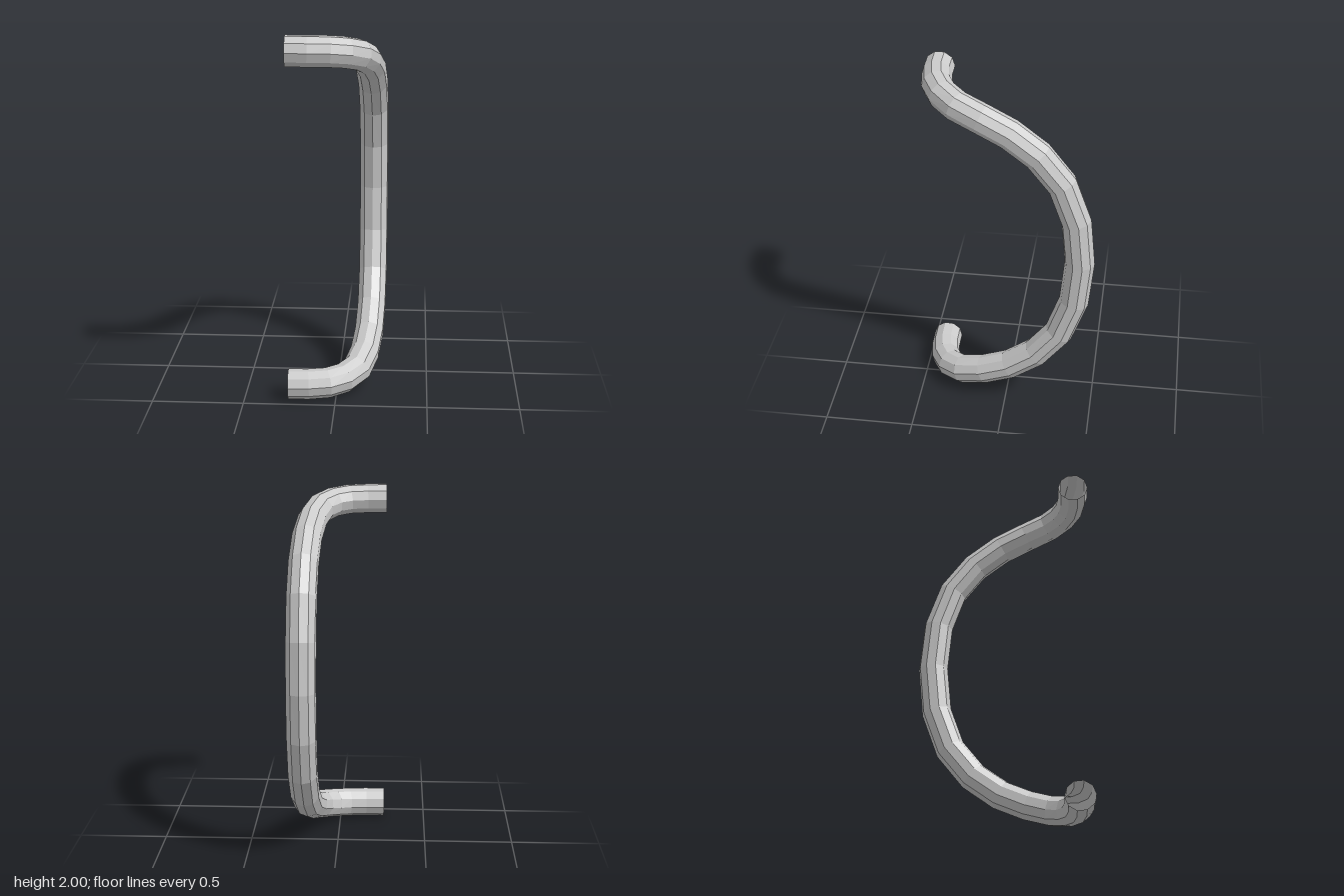
import * as THREE from 'three';

const RADIUS = 0.083;
const SIDES = 10;

// Centreline of the upper half, from the open end to the middle of the bow
const HALF = [
  [-0.26, 1.921, 0.41], [-0.15, 1.92, 0.408], [-0.045, 1.917, 0.39],
  [0.04, 1.906, 0.345], [0.11, 1.882, 0.262], [0.148, 1.837, 0.13],
  [0.168, 1.768, -0.022], [0.177, 1.655, -0.175], [0.18, 1.49, -0.305],
  [0.18, 1.265, -0.385], [0.18, 1, -0.41],
];

// Open faceted tube swept along the points, without twist
function sweptTube(points, startNormal) {
  const last = points.length - 1;
  const dir = (a, b) => points[b].clone().sub(points[a]).normalize();
  const normal = startNormal.clone();
  const positions = [];
  const index = [];
  points.forEach((p, i) => {
    const tangent = new THREE.Vector3();
    if (i > 0) tangent.add(dir(i - 1, i));
    if (i < last) tangent.add(dir(i, i + 1));
    tangent.normalize();
    normal.addScaledVector(tangent, -normal.dot(tangent)).normalize();
    const binormal = tangent.clone().cross(normal);
    for (let j = 0; j < SIDES; j++) {
      const a = (j / SIDES) * Math.PI * 2;
      const v = p.clone()
        .addScaledVector(normal, RADIUS * Math.cos(a))
        .addScaledVector(binormal, RADIUS * Math.sin(a));
      positions.push(v.x, v.y, v.z);
      if (i < last) {
        const k = (j + 1) % SIDES;
        const r = i * SIDES, s = r + SIDES;
        index.push(r + j, r + k, s + j, r + k, s + k, s + j);
      }
    }
  });
  const geometry = new THREE.BufferGeometry();
  geometry.setAttribute('position', new THREE.Float32BufferAttribute(positions, 3));
  geometry.setIndex(index);
  geometry.computeVertexNormals();
  return geometry;
}

export function createModel() {
  const group = new THREE.Group();
  group.name = 'bentPipe';

  // Mirror the half path about y = 1 to complete the bow
  const upper = HALF.map((p) => new THREE.Vector3(...p));
  const lower = upper.slice(0, -1).reverse().map((p) => new THREE.Vector3(p.x, 2 - p.y, p.z));

  const material = new THREE.MeshStandardMaterial({
    color: 0xcccccc, flatShading: true, side: THREE.DoubleSide,
  });
  const pipe = new THREE.Mesh(
    sweptTube([...upper, ...lower], new THREE.Vector3(0, 0, 1)), material);
  pipe.name = 'pipe';
  group.add(pipe);
  return group;
}
